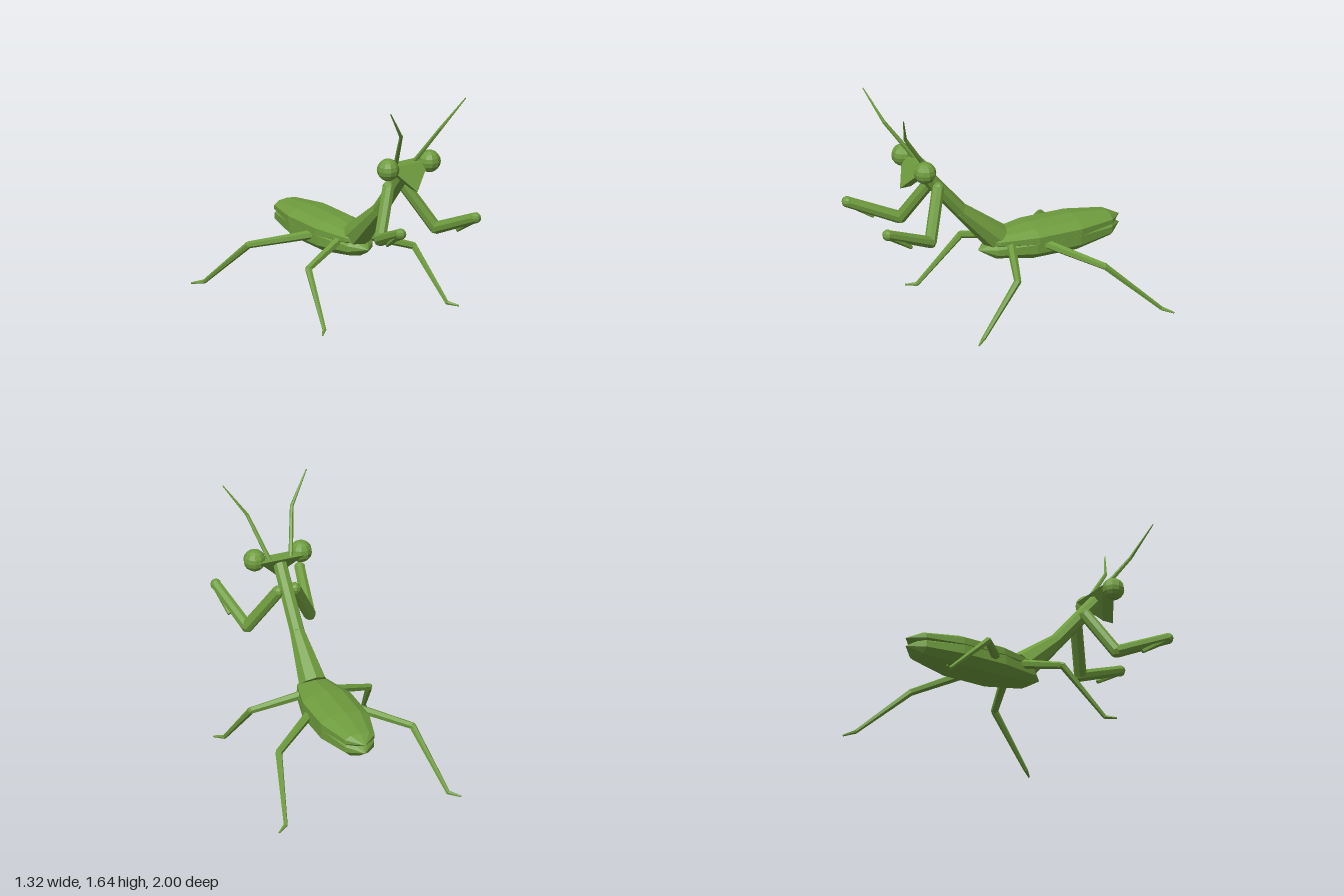
import * as THREE from 'three';
import { ConvexGeometry } from 'three/addons/geometries/ConvexGeometry.js';

const green = new THREE.MeshStandardMaterial({ color: 0x6f9c3e, flatShading: true });
const vec = (p) => new THREE.Vector3(...p);

function part(name, geometry, parent) {
  const mesh = new THREE.Mesh(geometry, green);
  mesh.name = name;
  parent.add(mesh);
  return mesh;
}

// Tapered rod from a to b
function rod(name, a, b, ra, rb, parent, sides = 6) {
  const from = vec(a), dir = vec(b).sub(from), length = dir.length();
  const mesh = part(name, new THREE.CylinderGeometry(rb, ra, length, sides), parent);
  mesh.position.copy(from).addScaledVector(dir, 0.5);
  mesh.quaternion.setFromUnitVectors(new THREE.Vector3(0, 1, 0), dir.normalize());
  return mesh;
}

function ball(name, p, r, parent, sides = 8, rings = 6) {
  const mesh = part(name, new THREE.SphereGeometry(r, sides, rings), parent);
  mesh.position.set(...p);
  return mesh;
}

// Chain of tapered rods through the points, with a ball at each inner joint
function limb(name, points, radii, parent, sides = 6) {
  const group = new THREE.Group();
  group.name = name;
  parent.add(group);
  for (let i = 0; i + 1 < points.length; i++) {
    rod(name + 'Segment', points[i], points[i + 1], radii[i], radii[i + 1], group, sides);
    if (i > 0) ball(name + 'Joint', points[i], radii[i], group, sides, 4);
  }
  return group;
}

// Faceted ellipsoid with its poles along z
function pod(name, y, z, rx, ry, rz, parent) {
  const g = new THREE.SphereGeometry(1, 10, 5).rotateY(Math.PI / 2).rotateX(Math.PI / 2);
  g.scale(rx, ry, rz).translate(0, y, z);
  return part(name, g, parent);
}

export function createModel() {
  const model = new THREE.Group();
  model.name = 'mantis';

  // Abdomen with folded wings above it
  pod('abdomen', 0.43, -0.39, 0.187, 0.112, 0.525, model);
  pod('foldedWings', 0.49, -0.4, 0.192, 0.08, 0.515, model);

  // Thorax: slim neck that flares toward the abdomen
  limb('thorax', [[0, 1.12, 0.575], [0, 0.755, 0.27], [0, 0.505, 0]], [0.048, 0.052, 0.098], model, 8);

  // Head: slanted triangular wedge
  part('head', new ConvexGeometry([
    [-0.16, 1.17, 0.62], [0.16, 1.17, 0.62], [0, 1.0, 0.715],
    [-0.16, 1.17, 0.53], [0.16, 1.17, 0.53], [0, 1.0, 0.635],
  ].map(vec)), model);

  for (const s of [1, -1]) {
    const side = s > 0 ? 'left' : 'right';
    const m = (points) => points.map(([x, y, z]) => [s * x, y, z]);

    ball(side + 'Eye', [s * 0.167, 1.16, 0.612], 0.076, model, 10, 8);
    limb(side + 'Antenna', m([[0.075, 1.16, 0.565], [0.16, 1.43, 0.755], [0.302, 1.638, 0.84]]),
      [0.016, 0.012, 0.004], model);

    // Grasping foreleg: upper arm, forearm and folded claw
    const arm = m([[0.06, 0.975, 0.46], [0.225, 0.675, 0.6], [0.302, 0.83, 0.958]]);
    const foreleg = limb(side + 'Foreleg', arm, [0.042, 0.042, 0.037], model, 8);
    ball('shoulder', arm[0], 0.042, foreleg);
    ball('wrist', arm[2], 0.038, foreleg);
    rod('claw', arm[2], [s * 0.282, 0.695, 0.77], 0.03, 0.013, foreleg);

    // Walking legs, each ending in a small foot
    limb(side + 'MiddleLeg', m([[0.08, 0.475, -0.07], [0.425, 0.358, 0.05], [0.495, 0.025, 0.34], [0.55, 0.01, 0.4]]),
      [0.032, 0.024, 0.014, 0.006], model);
    limb(side + 'HindLeg', m([[0.11, 0.46, -0.27], [0.482, 0.365, -0.57], [0.585, 0.025, -0.94], [0.655, 0.01, -0.998]]),
      [0.032, 0.024, 0.014, 0.006], model);
  }
  return model;
}
